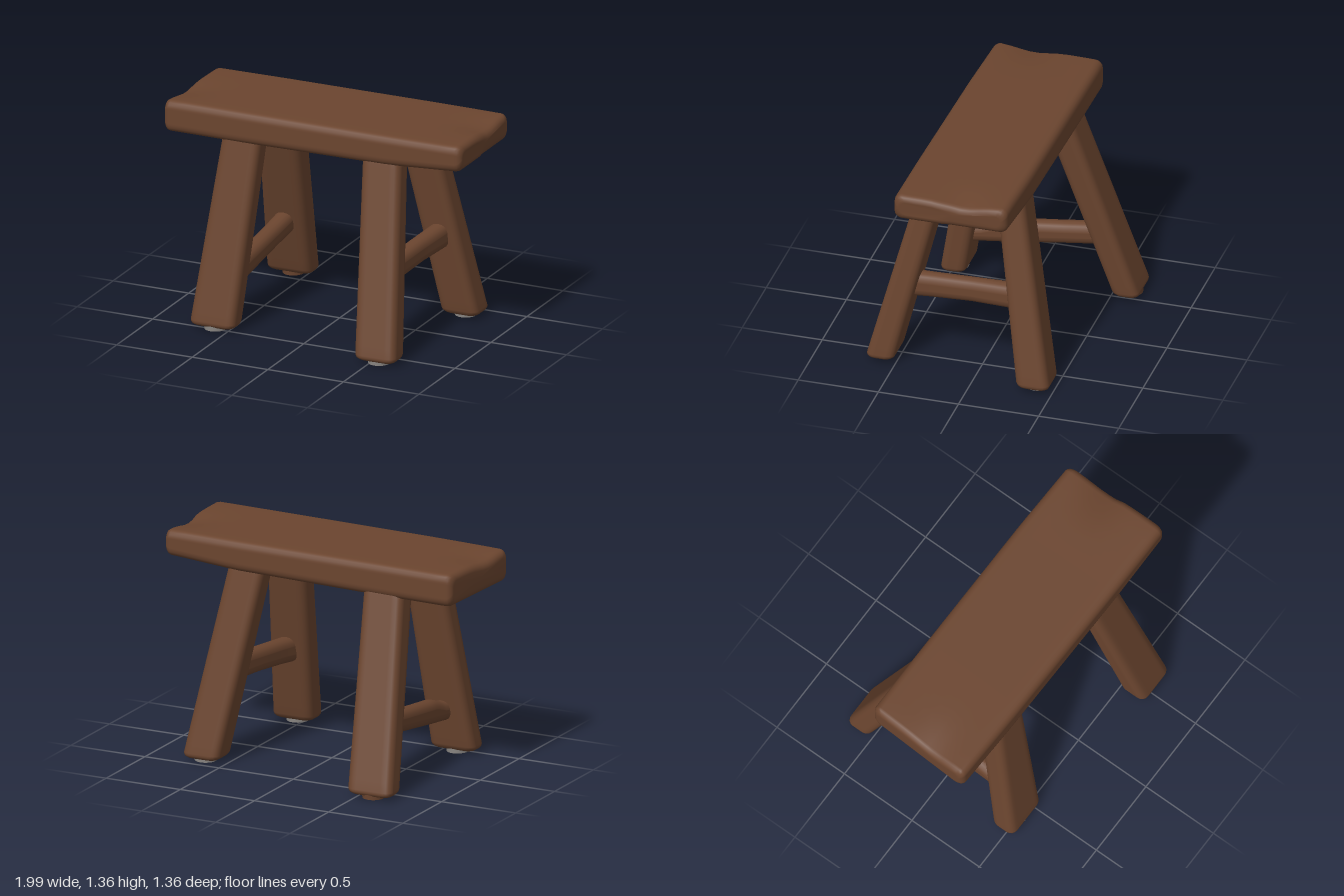
import * as THREE from 'three';

// Rounded rectangle outline, counter-clockwise, with subdivided straight sides
function section(hu, hv, r) {
  r = Math.min(r, hu * 0.95, hv * 0.95);
  const corners = [[1, 1], [-1, 1], [-1, -1], [1, -1]];
  const pts = [];
  corners.forEach(([su, sv], c) => {
    for (let j = 0; j <= 4; j++) {
      const a = (c + j / 4) * Math.PI / 2;
      pts.push([su * (hu - r) + r * Math.cos(a), sv * (hv - r) + r * Math.sin(a)]);
    }
  });
  const out = [];
  pts.forEach((p, i) => {
    out.push(p);
    if (i % 5 === 4) {
      const q = pts[(i + 1) % pts.length];
      for (let k = 1; k < 10; k++) out.push([p[0] + (q[0] - p[0]) * k / 10, p[1] + (q[1] - p[1]) * k / 10]);
    }
  });
  return out;
}

// Softly rounded beam lofted along an axis (0 x, 1 y, 2 z).
// Stations are [position, centreU, centreV, halfU, halfV]; u and v are the next two axes.
function beam(stations, axis, radius, endRound, deform) {
  const last = stations.length - 1;
  const at = (t) => {
    let i = 0;
    while (i < last - 1 && t > stations[i + 1][0]) i++;
    const a = stations[i], b = stations[i + 1], f = (t - a[0]) / (b[0] - a[0]);
    return a.map((v, k) => v + (b[k] - v) * f);
  };
  const start = stations[0][0], end = stations[last][0];
  const rings = [];
  const addEnd = (edge, sign, angles) => angles.forEach((a) => {
    const s = at(edge + sign * endRound * (1 - Math.sin(a)));
    const inset = endRound * (1 - Math.cos(a));
    rings.push([s[0], s[1], s[2], s[3] - inset, s[4] - inset]);
  });
  const angles = [1, 0.75, 0.5, 0.25, 0].map((k) => k * Math.PI / 2);
  addEnd(start, 1, angles);
  for (let k = 1; k < 20; k++) rings.push(at(start + endRound + (end - start - 2 * endRound) * k / 20));
  addEnd(end, -1, angles.slice().reverse());

  const pos = [], idx = [];
  const put = (w, u, v) => {
    const p = [0, 0, 0];
    p[axis] = w; p[(axis + 1) % 3] = u; p[(axis + 2) % 3] = v;
    if (deform) deform(p);
    pos.push(...p);
  };
  let n = 0;
  rings.forEach(([w, u, v, hu, hv]) => {
    const pts = section(hu, hv, radius);
    n = pts.length;
    pts.forEach(([a, b]) => put(w, u + a, v + b));
  });
  for (let i = 0; i < rings.length - 1; i++) {
    for (let j = 0; j < n; j++) {
      const a = i * n + j, b = i * n + (j + 1) % n;
      idx.push(a, b, a + n, b, b + n, a + n);
    }
  }
  // End caps
  const first = pos.length / 3, top = (rings.length - 1) * n;
  put(...rings[0].slice(0, 3));
  put(...rings[rings.length - 1].slice(0, 3));
  for (let j = 0; j < n; j++) {
    const k = (j + 1) % n;
    idx.push(first, k, j, first + 1, top + j, top + k);
  }
  const g = new THREE.BufferGeometry();
  g.setAttribute('position', new THREE.Float32BufferAttribute(pos, 3));
  g.setIndex(idx);
  g.computeVertexNormals();
  return g;
}

export function createModel() {
  const wood = new THREE.MeshStandardMaterial({ color: 0x6b452f });
  wood.name = 'brown wood';
  const metal = new THREE.MeshStandardMaterial({ color: 0x8c8884 });
  metal.name = 'grey pad';
  const model = new THREE.Group();
  model.name = 'woodenBench';
  const add = (name, geometry, material = wood) => {
    const mesh = new THREE.Mesh(geometry, material);
    mesh.name = name;
    model.add(mesh);
    return mesh;
  };

  // Seat plank with slightly skewed, hand-worn ends
  const bump = (d, s) => Math.exp(-(d * d) / (s * s));
  add('seat', beam([
    [-0.98, 1.255, 0.025, 0.1, 0.345],
    [-0.5, 1.26, 0.035, 0.1, 0.352],
    [0.5, 1.272, 0.05, 0.094, 0.357],
    [0.98, 1.29, 0.06, 0.08, 0.352],
  ], 0, 0.045, 0.04, (p) => {
    const [x, y, z] = p;
    if (y > 1.3) p[1] -= 0.03 * bump(x - 0.98, 0.14) * bump(z + 0.02, 0.13) + 0.025 * bump(x + 0.98, 0.14) * bump(z - 0.12, 0.13);
    if (x < 0) p[0] -= 0.05 * z * x * x;
    else p[0] += 0.012 * x * x * (z > 0.1 ? 1 : 0.3);
  }));

  // Splayed legs: foot and head as [y, z, x, halfZ, halfX]
  const legs = {
    frontLeftLeg: [[0.025, 0.6, 0.545, 0.088, 0.133], [1.25, 0.29, 0.44, 0.078, 0.125]],
    frontRightLeg: [[0.025, 0.48, -0.595, 0.08, 0.147], [1.25, 0.27, -0.485, 0.08, 0.125]],
    backLeftLeg: [[0.025, -0.385, 0.65, 0.102, 0.12], [1.25, -0.175, 0.44, 0.085, 0.12]],
    backRightLeg: [[0.025, -0.605, -0.595, 0.082, 0.147], [1.25, -0.195, -0.485, 0.09, 0.13]],
  };
  for (const [name, stations] of Object.entries(legs)) {
    add(name, beam(stations, 1, 0.045, 0.035));
    // Round pad under the foot
    const [, z, x] = stations[0];
    const side = name === 'backRightLeg' ? wood : metal;
    const pad = add(name.replace('Leg', 'FootPad'), new THREE.CylinderGeometry(0.07, 0.066, 0.05, 24), [side, metal, metal]);
    pad.position.set(x, 0.03, z);
  }

  // Stretchers joining front and back legs: [z, x, y, halfX, halfY]
  add('leftStretcher', beam([
    [-0.3, 0.57, 0.555, 0.06, 0.08],
    [0.05, 0.535, 0.535, 0.055, 0.075],
    [0.3, 0.515, 0.515, 0.055, 0.077],
    [0.47, 0.5, 0.5, 0.06, 0.08],
  ], 2, 0.05, 0.02));
  add('rightStretcher', beam([
    [-0.48, -0.555, 0.41, 0.06, 0.07],
    [-0.2, -0.555, 0.37, 0.055, 0.07],
    [0.2, -0.555, 0.318, 0.055, 0.075],
    [0.33, -0.555, 0.287, 0.055, 0.06],
    [0.42, -0.555, 0.28, 0.06, 0.065],
  ], 2, 0.05, 0.02));
  return model;
}
